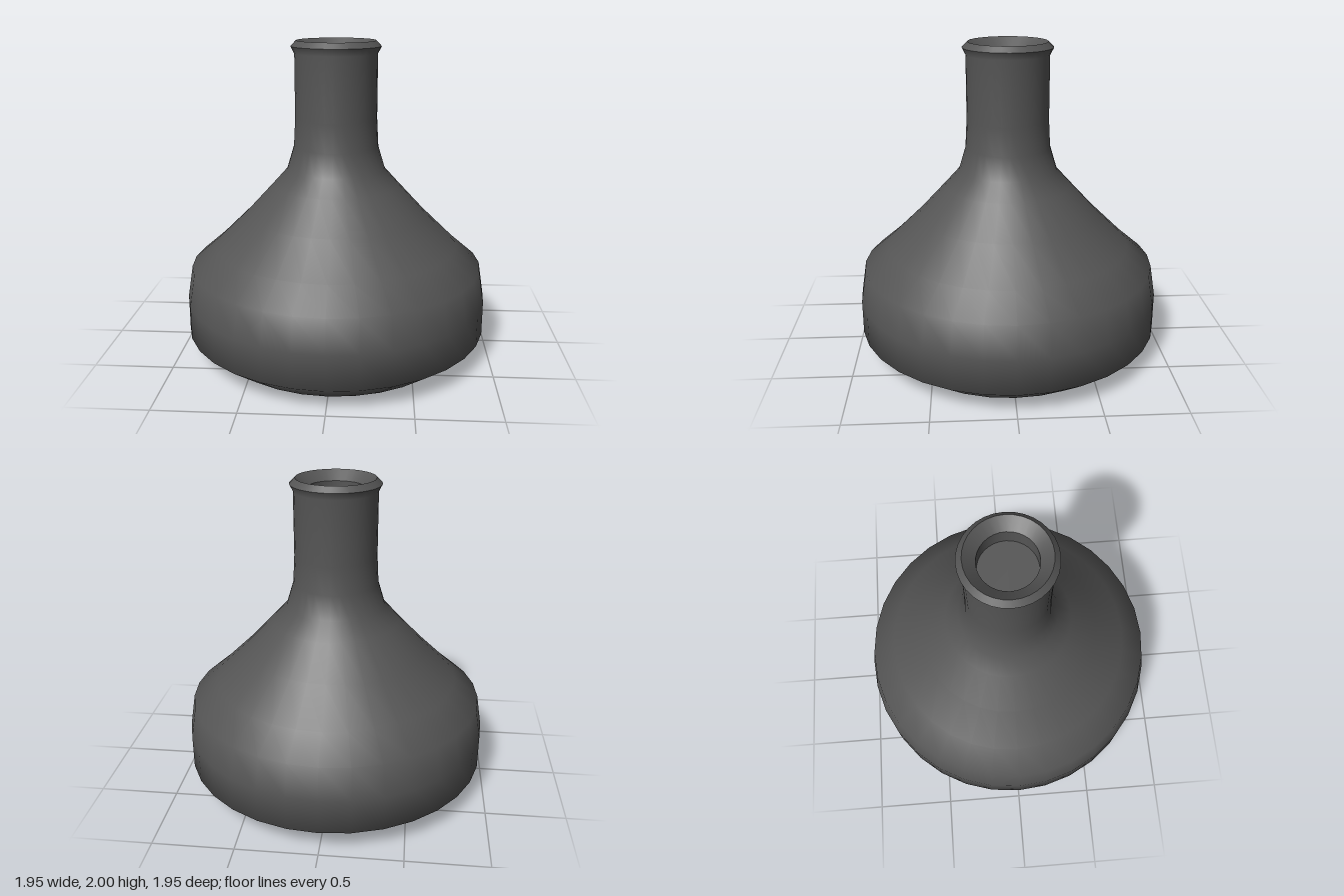
import * as THREE from 'three';

const SEGMENTS = 32;

export function createModel() {
  const vase = new THREE.Group();
  vase.name = 'vase';
  const clay = new THREE.MeshStandardMaterial({ color: 0x555555 });
  clay.name = 'dark grey clay';

  // Turn a [radius, height] profile, running from the base up the outside and down the inside
  const turn = (name, profile) => {
    const points = profile.map(([r, y]) => new THREE.Vector2(r, y));
    const mesh = new THREE.Mesh(new THREE.LatheGeometry(points, SEGMENTS), clay);
    mesh.name = name;
    vase.add(mesh);
  };

  // Base, rounded belly, sloping shoulder and slim neck in one smooth skin
  turn('body', [
    [0, 0], [0.79, 0], [0.977, 0.14], [0.977, 0.36], [0.943, 0.565], [0.785, 0.7],
    [0.58, 0.9], [0.405, 1.09], [0.315, 1.19], [0.27, 1.34], [0.26, 1.52], [0.26, 1.92],
    [0.283, 1.965],
  ]);

  // Bevelled lip
  turn('lip', [[0.283, 1.965], [0.248, 2]]);

  // Funnel inside the mouth, then the short inner wall
  turn('mouthFunnel', [[0.248, 2], [0.175, 1.94]]);
  turn('mouthWall', [[0.175, 1.94], [0.175, 1.83]]);

  // Floor closing the mouth
  turn('mouthFloor', [[0.175, 1.83], [0, 1.83]]);

  return vase;
}
